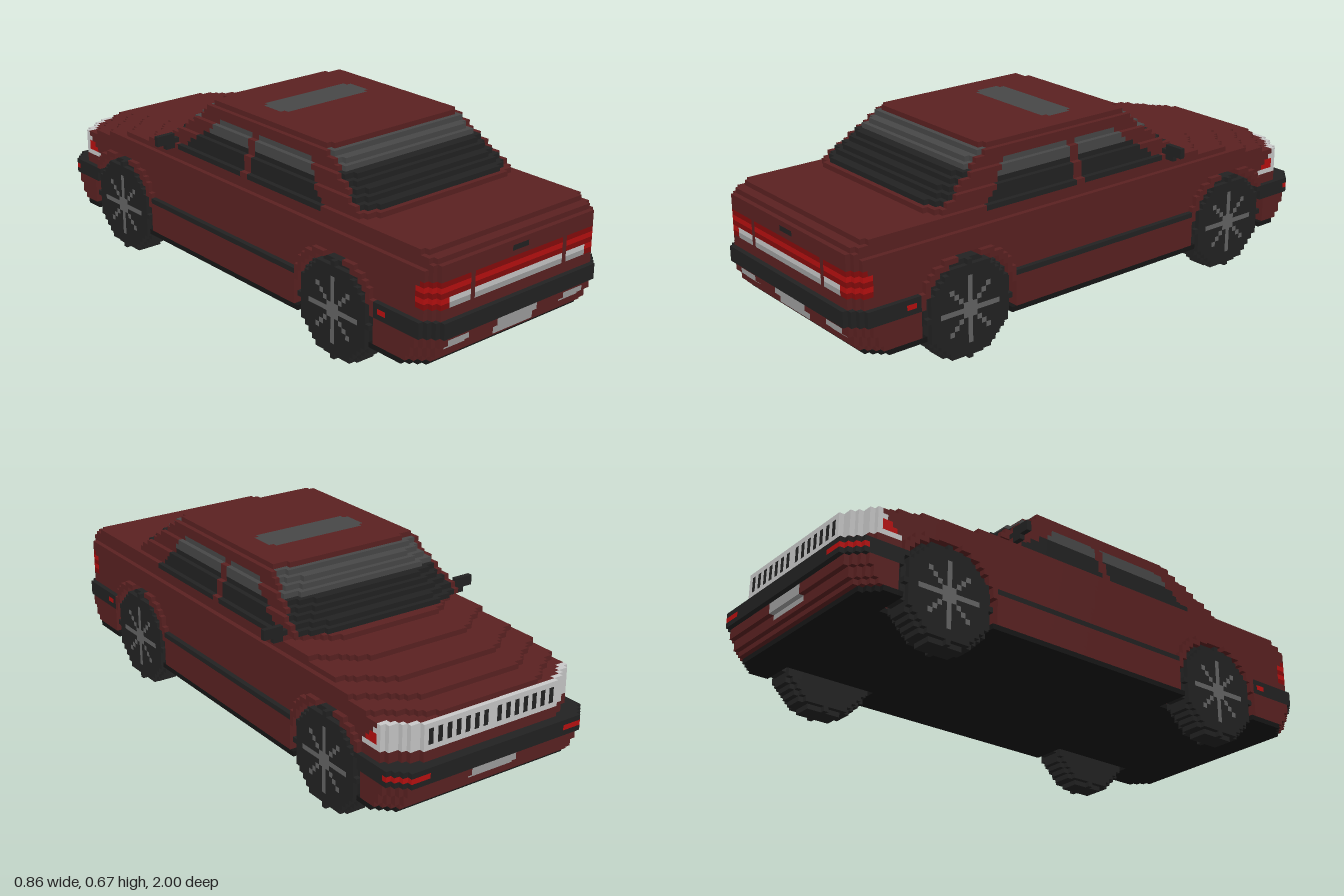
import * as THREE from 'three';

// Voxel saloon car: 111 cells long, grille at -z, tail at +z.
const V = 2 / 111;
const NX = 24, NY = 37, NZ = 111;

const mat = (name, color) => Object.assign(new THREE.MeshStandardMaterial({ color }), { name });

// Half width of the body on each row of cells
function halfWidth(j) {
  if (j < 14) return 22;
  if (j < 24) return 21;
  if (j < 27) return 20;
  if (j < 30) return 19;
  if (j < 33) return 18;
  return j < 36 ? 17 : 16;
}

// First and last cell along z of a row; a is the distance from the centre line
function rowSpan(a, j) {
  const corner = Math.max(0, a - 18);
  if (j < 15) {
    const inset = j < 12 ? [4, 3, 2, 2, 1, 1][j - 6] : 0;
    return [inset + corner, 110 - inset - corner];
  }
  if (j < 22) return [Math.round(2 + Math.max(0, a - 14) * 0.65), 109 - corner];
  if (j < 27) { // bonnet steps and boot lid
    const start = [3, 8, 14, 22, 30][j - 22] + Math.max(0, a - 10) * 0.7;
    return [Math.round(start), [109, 109, 109, 108, 106][j - 22] - corner];
  }
  const t = j - 27; // sloping cabin
  return [
    Math.round(32 + t * 1.35 + Math.max(0, a - 11) * 0.3),
    Math.round(91 - t * 1.5 - Math.max(0, a - 14) * 0.4),
  ];
}

// Tyres and spoked rims
function wheelPart(a, j, k) {
  if (a < 16 || a > 21) return null;
  const dy = Math.abs(j - 9), dz = Math.abs(k - (k < 53 ? 20 : 86));
  const r = Math.hypot(dy, dz);
  if (r > (a === 16 || a === 21 ? 9 : 9.6)) return null;
  if (a === 21 && r < 7) {
    const spoke = dy === 0 || dz === 0 || dy === dz;
    if (r < 1.5 || (spoke && r < 6.6)) return 'wheelSpokes';
  }
  return 'tyres';
}

// Grille, headlights and trim at the nose
function nosePart(a, j, k, depth) {
  if (j >= 9 && j <= 11 && a < 5 && depth < 1) return 'numberPlates';
  if (j === 13 && a >= 15 && k < 4) return 'markerLamps';
  if (j < 17 || j > 21) return null;
  if (a < 14 && depth < 1) {
    return j >= 18 && j <= 20 && a % 2 === 1 ? 'grilleSlots' : 'headlightsAndGrille';
  }
  if (a >= 14 && depth < 1 && k < 7) return 'headlightsAndGrille';
  if (a >= 19 && k < 6) return 'headlightsAndGrille';
  if (a >= 19 && k < 11 - (j - 17)) {
    return j === 18 || j === 19 ? 'markerLamps' : 'headlightsAndGrille';
  }
  return null;
}

// Light bar, plate and lock at the tail
function tailPart(a, j, k, depth) {
  if (a >= 20 && k >= 106 && j >= 17 && j <= 20) return j % 2 ? 'tailLightsDark' : 'tailLights';
  if (depth >= 1) return null;
  if (j >= 8 && j <= 11 && a < 5) return 'numberPlates';
  if ((j === 9 || j === 10) && a >= 12 && a <= 16) return 'fogLamps';
  if (j === 23 && a < 2) return 'bootLock';
  if (j < 17 || j > 21 || a === 11) return null;
  if (j >= 19) return j === 20 ? 'tailLights' : 'tailLightsDark';
  if (a >= 17) return j === 18 ? 'tailLights' : 'tailLightsDark';
  return j === 18 ? 'reverseLights' : 'reverseLightsLower';
}

// Windscreen, rear window, side windows and sunroof
function glassPart(a, j, k, start, end) {
  const hw = halfWidth(j);
  if (j === 36) {
    const trim = Math.abs(k - 56) === 3 ? 1 : 0;
    return k >= 53 && k <= 59 && a < 11 - trim ? 'sunroof' : null;
  }
  if (j >= 27 && a <= hw - 2) {
    if (k < start + 2) return j >= 32 ? 'windscreenTop' : 'windscreen';
    if (j >= 28 && k > end - 2) return j >= 33 ? 'rearWindowTop' : 'rearWindow';
  }
  if (j >= 26 && j <= 33 && a === hw - 1) {
    const t = (j - 26) / 7;
    const rear = k >= 60 && k <= 80 - 5.5 * t;
    const front = k >= 38 + 10 * t && k <= 57;
    if (rear || front) return j >= 31 ? 'sideWindowsTop' : 'sideWindows';
  }
  return null;
}

// Part occupying a cell, or null where the cell is empty
function partAt(i, j, k) {
  if (j < 0 || j >= NY || k < 0 || k >= NZ) return null;
  const a = i >= 0 ? i : -1 - i;
  if (a >= NX) return null;

  const wheel = wheelPart(a, j, k);
  if (wheel) return wheel;
  if (k === 36 && ((a >= 20 && (j === 27 || j === 28)) || (j === 26 && a >= 20 && a < 22))) return 'mirrors';
  if (k === 36 && j === 27 && a === 19) return 'mirrors';

  if (j < 6) return null;
  const arch = Math.hypot(j - 9, k - (k < 53 ? 20 : 86));
  if (a >= 15 && arch < 10.2) return null;
  const lip = j < 20 && arch < 11.6;
  const bumperEnd = j >= 12 && j <= 14 && (k <= 11 || k >= 97);
  const hw = lip || bumperEnd ? 22 : halfWidth(j);
  if (a >= hw) return null;
  const [start, end] = rowSpan(a, j);
  if (k < start || k > end) return null;

  if (j === 6) return 'underbody';
  const detail = k < 55 ? nosePart(a, j, k, k - start) : tailPart(a, j, k, end - k);
  if (detail) return detail;
  if (j === 13 && a === 21 && (k === 98 || k === 99)) return 'markerLamps';
  if (bumperEnd) return 'bumpers';
  if (j === 13 && a === 21 && !lip) return 'sideTrim';
  return (j >= 26 && glassPart(a, j, k, start, end)) || 'bodywork';
}

// Adds the outward faces of one cell to a position/normal list
function addFaces(list, cell) {
  for (let d = 0; d < 3; d++) {
    for (const s of [-1, 1]) {
      const near = [...cell];
      near[d] += s;
      if (partAt(...near)) continue;
      const u = (d + 1) % 3, v = (d + 2) % 3;
      const corner = (du, dv) => {
        const p = [...cell];
        if (s > 0) p[d] += 1;
        p[u] += du;
        p[v] += dv;
        return [p[0] * V, p[1] * V, (p[2] - NZ / 2) * V];
      };
      const q = [corner(0, 0), corner(1, 0), corner(1, 1), corner(0, 1)];
      if (s < 0) q.reverse();
      const n = [0, 0, 0];
      n[d] = s;
      for (const c of [0, 1, 2, 0, 2, 3]) {
        list.positions.push(...q[c]);
        list.normals.push(...n);
      }
    }
  }
}

export function createModel() {
  const red = mat('body red', 0x5a2121), black = mat('black trim', 0x222222);
  const under = mat('underbody black', 0x161616), pale = mat('pale glass', 0x474747);
  const steel = mat('wheel grey', 0x646464), white = mat('lamp white', 0xc8c8c8);
  const grey = mat('plate grey', 0x9e9e9e), lamp = mat('lamp red', 0xb81010);
  const lampDark = mat('deep lamp red', 0x860c0c);
  const materials = {
    bodywork: red, underbody: under, bumpers: black, sideTrim: black, mirrors: black,
    tyres: black, wheelSpokes: steel, grilleSlots: black, headlightsAndGrille: white,
    windscreen: black, windscreenTop: pale, rearWindow: black, rearWindowTop: pale,
    sideWindows: black, sideWindowsTop: pale, sunroof: pale, bootLock: black,
    numberPlates: grey, fogLamps: grey, reverseLights: white, reverseLightsLower: grey,
    tailLights: lamp, tailLightsDark: lampDark, markerLamps: lamp,
  };

  const lists = {};
  for (let i = -NX; i < NX; i++)
    for (let j = 0; j < NY; j++)
      for (let k = 0; k < NZ; k++) {
        const part = partAt(i, j, k);
        if (part) addFaces(lists[part] ??= { positions: [], normals: [] }, [i, j, k]);
      }

  const car = new THREE.Group();
  car.name = 'car';
  for (const [name, { positions, normals }] of Object.entries(lists)) {
    const geometry = new THREE.BufferGeometry();
    geometry.setAttribute('position', new THREE.Float32BufferAttribute(positions, 3));
    geometry.setAttribute('normal', new THREE.Float32BufferAttribute(normals, 3));
    const mesh = new THREE.Mesh(geometry, materials[name]);
    mesh.name = name;
    car.add(mesh);
  }
  return car;
}
